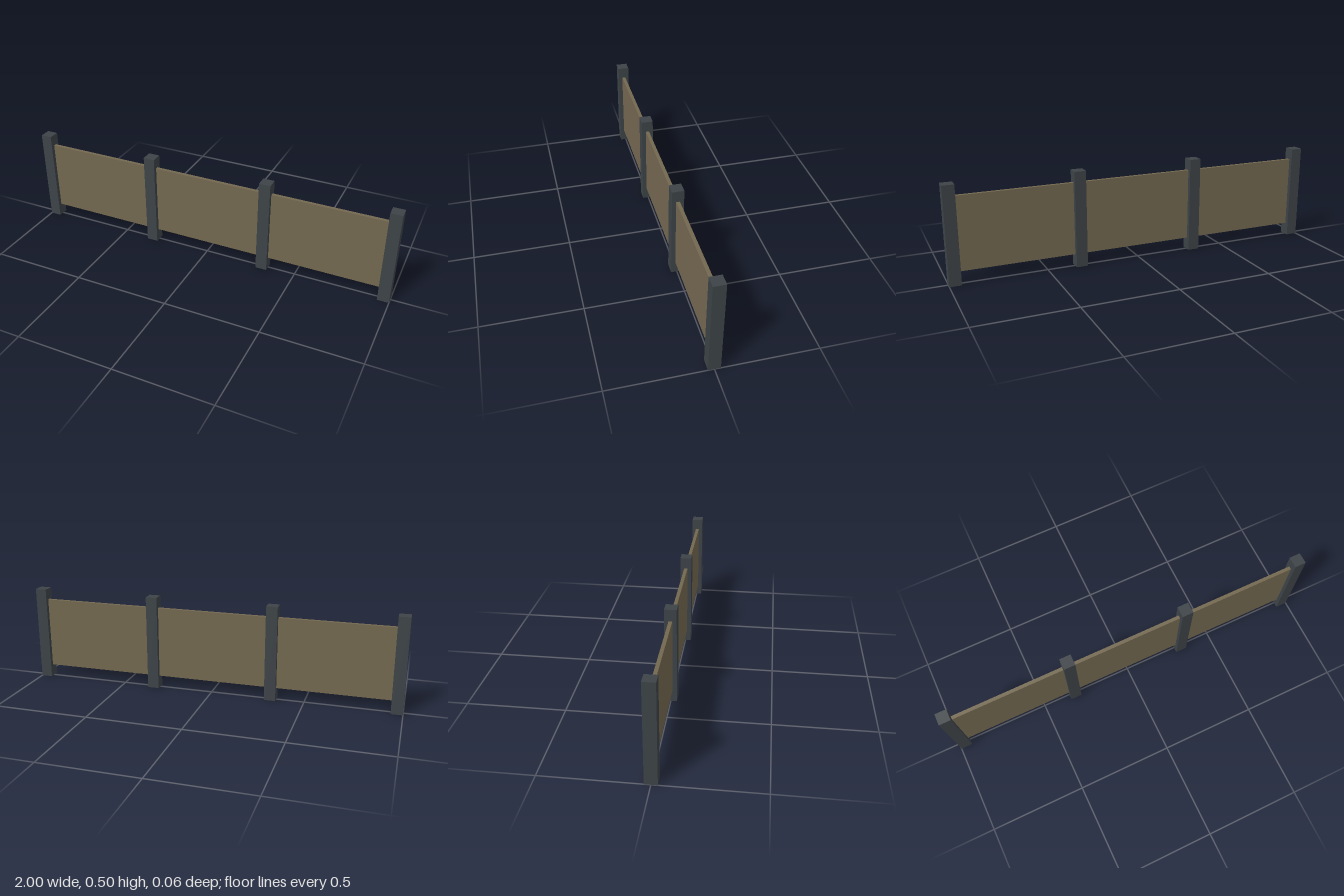
import * as THREE from 'three';

const POST = 0.06, POST_HEIGHT = 0.505, SPACING = 1.94 / 3;
const PANEL_BOTTOM = 0.065, PANEL_TOP = 0.445, PANEL_DEPTH = 0.018;

export function createModel() {
  const fence = new THREE.Group();
  fence.name = 'fence';

  const postMaterial = new THREE.MeshStandardMaterial({ color: 0x3d4347 });
  postMaterial.name = 'dark slate';
  const panelMaterial = new THREE.MeshStandardMaterial({ color: 0x736850 });
  panelMaterial.name = 'olive brown';

  const addBox = (name, material, w, h, d, x, y) => {
    const mesh = new THREE.Mesh(new THREE.BoxGeometry(w, h, d), material);
    mesh.name = name;
    mesh.position.set(x, y, 0);
    fence.add(mesh);
  };

  // Four evenly spaced square posts
  for (let i = 0; i < 4; i++) {
    addBox(`post${i + 1}`, postMaterial, POST, POST_HEIGHT, POST, -0.97 + i * SPACING, POST_HEIGHT / 2);
  }

  // Three thin panels, each running between the centres of two posts
  for (let i = 0; i < 3; i++) {
    addBox(`panel${i + 1}`, panelMaterial, SPACING, PANEL_TOP - PANEL_BOTTOM, PANEL_DEPTH,
      -0.97 + (i + 0.5) * SPACING, (PANEL_TOP + PANEL_BOTTOM) / 2);
  }

  return fence;
}
